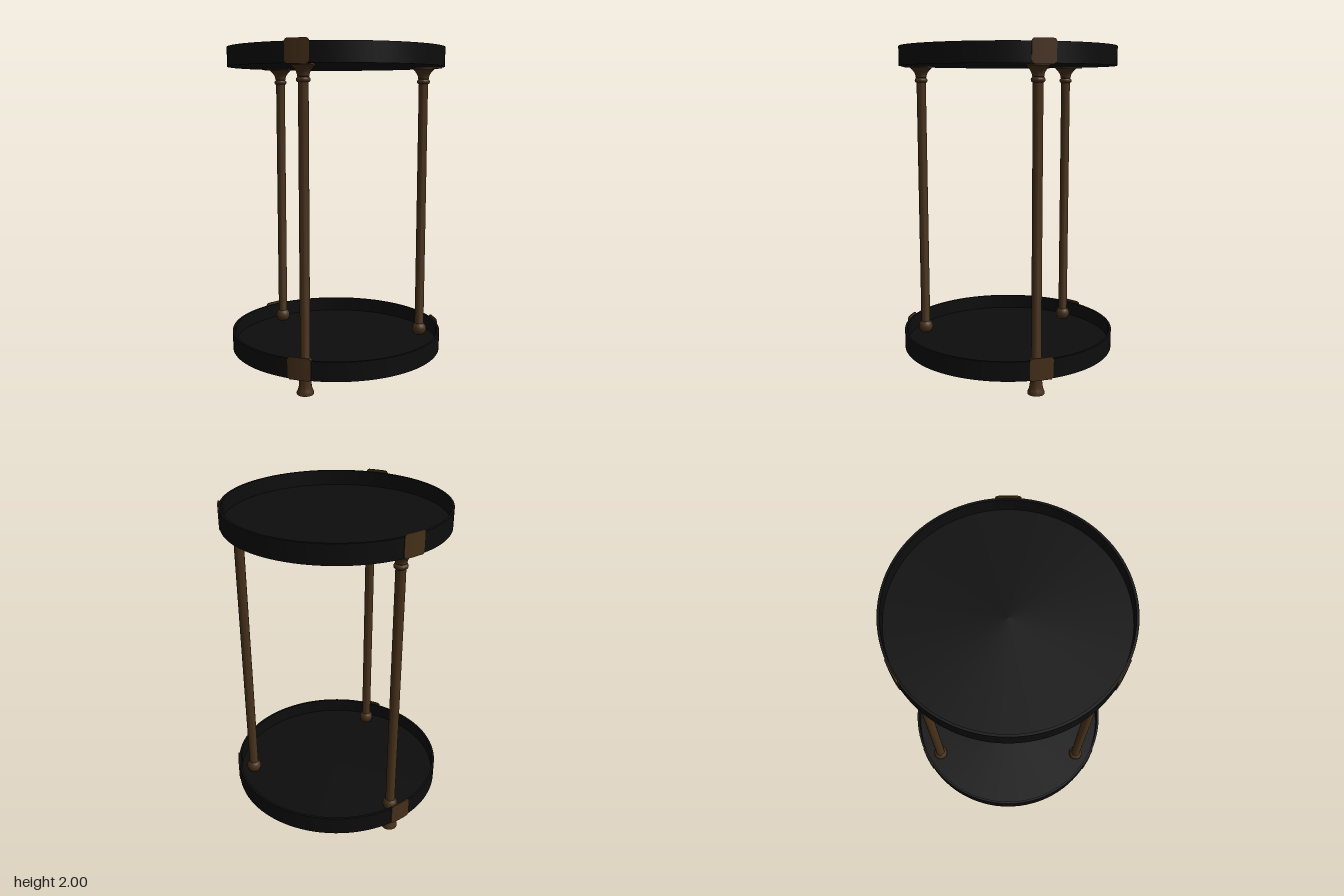
import * as THREE from 'three';
import { toCreasedNormals } from 'three/addons/utils/BufferGeometryUtils.js';

const TRAY_R = 0.658, LEG_R = 0.56;

const bronze = new THREE.MeshStandardMaterial({ color: 0x46301a });
const black = new THREE.MeshStandardMaterial({ color: 0x0d0d0d });

function lathe(points, segments, crease = 0.6) {
  const profile = points.map(([r, y]) => new THREE.Vector2(r, y));
  return toCreasedNormals(new THREE.LatheGeometry(profile, segments), crease);
}

function add(parent, name, geometry, material, y = 0) {
  const mesh = new THREE.Mesh(geometry, material);
  mesh.name = name;
  mesh.position.y = y;
  parent.add(mesh);
  return mesh;
}

// Shallow round tray with a thin upright rim, bottom at y = 0
function trayGeometry() {
  const inner = TRAY_R - 0.014, h = 0.115, floor = 0.024;
  return lathe([[0, 0], [TRAY_R, 0], [TRAY_R, h], [inner, h], [inner, floor], [0, floor]], 96);
}

// Thin plate with rounded corners, bent round the tray rim at +z
function clampGeometry() {
  const w = 0.07, h = 0.066, corner = 0.018, thick = 0.007;
  const geo = new THREE.BoxGeometry(2, 2, thick, 24, 1, 1);
  const p = geo.attributes.position;
  for (let i = 0; i < p.count; i++) {
    const u = w * Math.sin(p.getX(i) * Math.PI / 2);
    const over = Math.max(0, Math.abs(u) - (w - corner));
    const drop = corner - Math.sqrt(Math.max(0, corner * corner - over * over));
    const r = TRAY_R + 0.001 + p.getZ(i);
    const a = u / TRAY_R;
    p.setXYZ(i, r * Math.sin(a), p.getY(i) * (h - drop), r * Math.cos(a));
  }
  return toCreasedNormals(geo, 0.6);
}

// Leg from the floor up to the underside of the upper tray
function legProfile() {
  const pts = [[0, 0], [0.05, 0], [0.05, 0.01], [0.043, 0.025], [0.038, 0.045],
    [0.035, 0.075], [0.034, 0.125], [0.029, 0.14], [0.029, 1.765]];
  // rounded ring below the capital
  for (let i = 0; i <= 8; i++) {
    const a = -Math.PI / 2 + (i / 8) * Math.PI;
    pts.push([0.029 + 0.011 * Math.cos(a), 1.785 + 0.014 * Math.sin(a)]);
  }
  // concave flare
  for (let i = 0; i <= 8; i++) {
    const t = i / 8;
    pts.push([0.033 + 0.034 * t * t, 1.802 + 0.06 * t]);
  }
  pts.push([0.067, 1.872], [0, 1.872]);
  return pts;
}

export function createModel() {
  const model = new THREE.Group();
  model.name = 'trayTable';

  const tray = trayGeometry();
  add(model, 'lowerTray', tray, black, 0.12);
  add(model, 'upperTray', tray, black, 1.87);

  const leg = lathe(legProfile(), 32);
  const ball = new THREE.SphereGeometry(0.046, 32, 20);
  const clamp = clampGeometry();
  const tab = new THREE.BoxGeometry(0.12, 0.005, TRAY_R - LEG_R);

  // Three legs spaced evenly, each clamped to both trays
  for (let i = 0; i < 3; i++) {
    const support = new THREE.Group();
    support.name = 'legAssembly' + (i + 1);
    support.rotation.y = i * Math.PI * 2 / 3;
    add(support, 'leg', leg, bronze).position.z = LEG_R;
    add(support, 'legBall', ball, bronze, 0.18).position.z = LEG_R;
    for (const [level, y] of [['lower', 0.12], ['upper', 1.87]]) {
      add(support, level + 'Clamp', clamp, bronze, y + 0.064);
      add(support, level + 'ClampTab', tab, bronze, y - 0.0015).position.z = (TRAY_R + LEG_R) / 2;
    }
    model.add(support);
  }
  return model;
}
